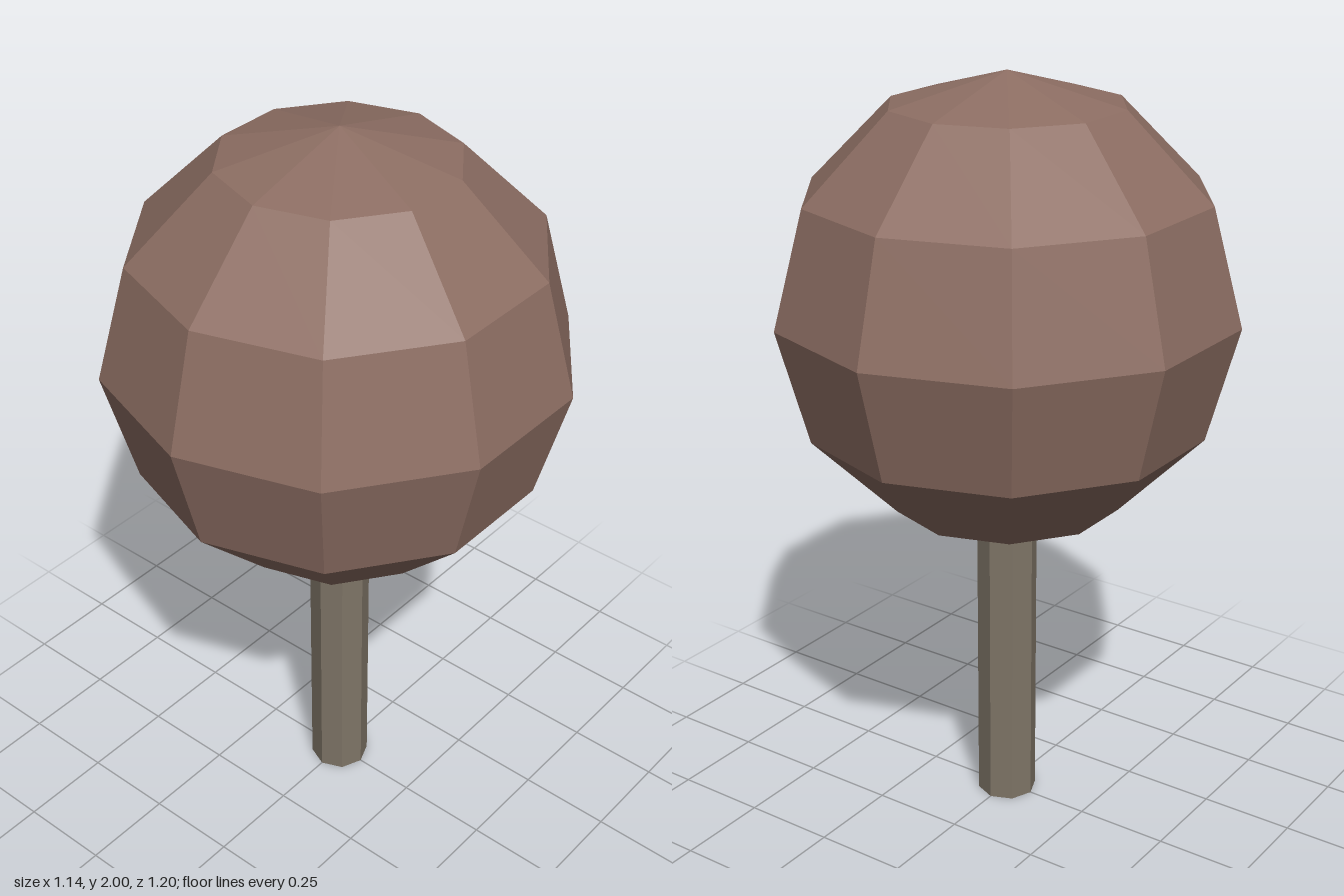
import * as THREE from 'three';

export function createModel() {
  const model = new THREE.Group();
  const crownBrown = new THREE.MeshStandardMaterial({ color: 0x8d6e63, flatShading: true });
  crownBrown.name = 'dusty brown';
  const stemGrey = new THREE.MeshStandardMaterial({ color: 0x7f7567, flatShading: true });
  stemGrey.name = 'grey brown';

  // Faceted ball with corners on the z axis
  const ball = new THREE.Mesh(new THREE.SphereGeometry(0.6, 10, 6).rotateY(Math.PI / 2), crownBrown);
  ball.name = 'crown';
  ball.position.y = 1.4;

  // Eight-sided stem, its top hidden inside the ball
  const height = 0.9;
  const stem = new THREE.Mesh(new THREE.CylinderGeometry(0.08, 0.08, height, 8), stemGrey);
  stem.name = 'stem';
  stem.position.y = height / 2;

  model.add(ball, stem);
  return model;
}
